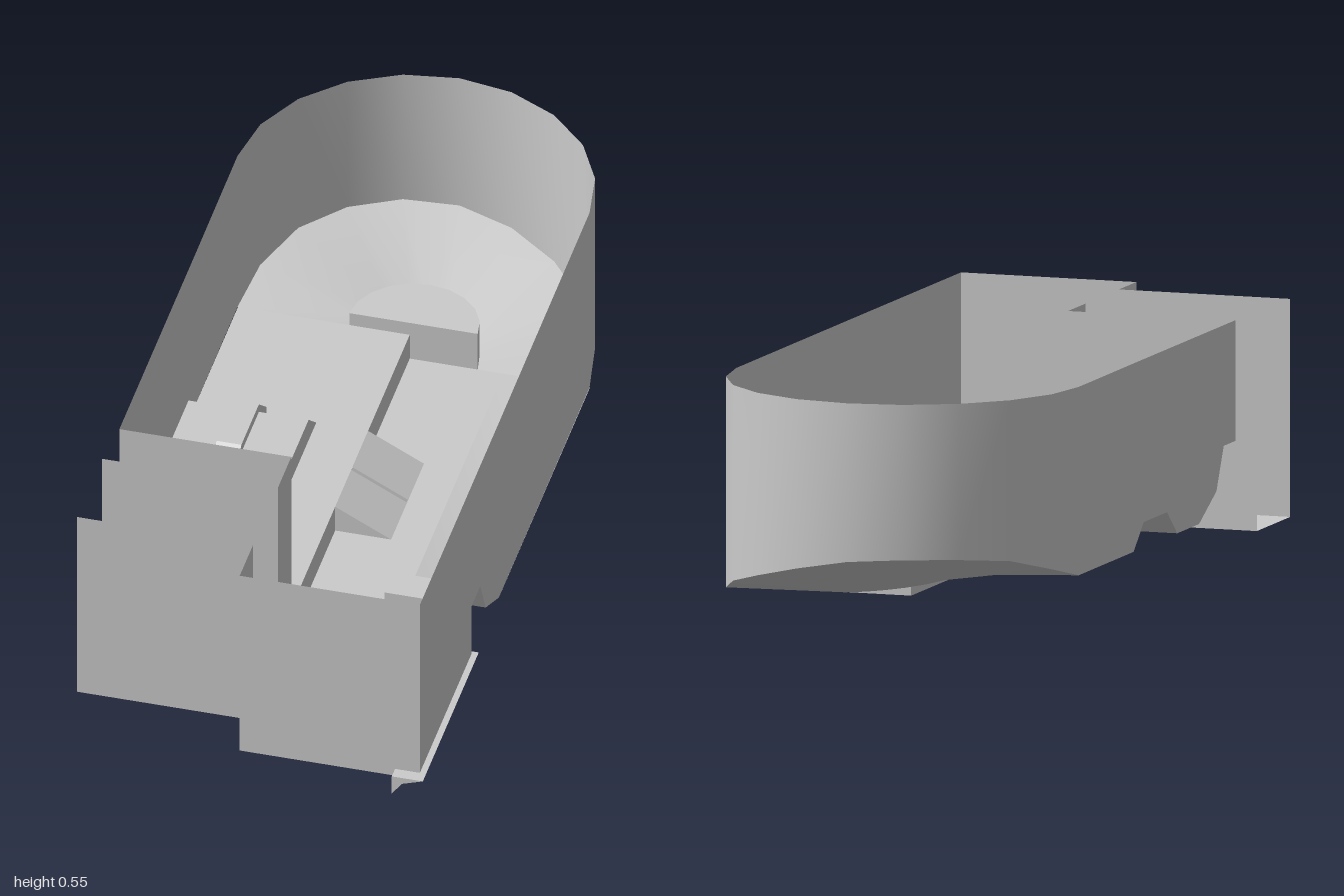
import * as THREE from 'three';
import { toCreasedNormals } from 'three/addons/utils/BufferGeometryUtils.js';

const TOP = 0.545, LOW = 0.03, HIGH = 0.1;      // wall top, the two floor levels
const L = -0.43, R = 0.42, M = -0.015, BACK = -0.58;

const mat = new THREE.MeshStandardMaterial({ color: 0xcccccc, side: THREE.DoubleSide });

// Thin sheet spanning two polylines that have the same number of points
function ribbon(a, b) {
  const pos = [];
  const tri = (p, q, r) => {
    const [P, Q, S] = [p, q, r].map(v => new THREE.Vector3(...v));
    if (Q.clone().sub(P).cross(S.clone().sub(P)).length() > 1e-7) pos.push(...p, ...q, ...r);
  };
  for (let i = 0; i < a.length - 1; i++) {
    tri(a[i], a[i + 1], b[i + 1]);
    tri(a[i], b[i + 1], b[i]);
  }
  const g = new THREE.BufferGeometry();
  g.setAttribute('position', new THREE.Float32BufferAttribute(pos, 3));
  return toCreasedNormals(g, 0.5);
}

export function createModel() {
  const model = new THREE.Group();
  const add = (name, geo) => {
    const m = new THREE.Mesh(geo, mat);
    m.name = name;
    model.add(m);
    return m;
  };
  // Profiles are lists of [z, y]
  const along = (prof, x) => prof.map(([z, y]) => [x, y, z]);
  const strip = (name, prof, x0, x1) => add(name, ribbon(along(prof, x0), along(prof, x1)));
  const side = (name, x, prof, other) => add(name, ribbon(along(prof, x), along(other, x)));
  const flatten = (prof, y) => prof.map(([z]) => [z, y]);
  const wall = (name, path) => add(name, ribbon(path, path.map(([x, , z]) => [x, TOP, z])));

  // Side profiles: stepped wheel-arch ramp and the low hump on the left
  const arch = y => [[0.25, y], [0.37, y + 0.06], [0.42, y + 0.16], [0.5, y + 0.16]];
  const hump = h => [[-0.2, HIGH + h], [-0.13, HIGH + 0.06 + h], [0.03, HIGH + 0.06 + h], [0.1, HIGH + h]];

  // Rounded back: floor ring and rim rise towards the middle
  const rimY = [0.03, 0.047, 0.083, 0.114, 0.145, 0.17, 0.178, 0.176, 0.165, 0.132, 0.1];
  const arc = (r, yAt) => rimY.map((_, i) => {
    const t = i / 10 * Math.PI;
    return [-0.006 + r * Math.cos(t), yAt(i), BACK - r * 0.988 * Math.sin(t)];
  });
  const rim = arc(0.425, i => rimY[i]);
  const inner = arc(0.155, i => LOW + (HIGH - LOW) * i / 10);
  add('backFloor', ribbon(inner, rim));

  // Half-round platform
  const DISC = 0.135;
  const discEdge = arc(0.155, () => DISC);
  add('platformTop', ribbon(discEdge, discEdge.map(() => [-0.006, DISC, BACK])));
  add('platformCurvedSide', ribbon(inner, discEdge));
  add('platformFront', ribbon(
    [[-0.161, HIGH, BACK], [M, HIGH, BACK], [M, LOW, BACK], [0.149, LOW, BACK]],
    [[-0.161, DISC, BACK], [M, DISC, BACK], [M, DISC, BACK], [0.149, DISC, BACK]]));

  // Outer walls
  wall('mainWall', [
    [R, LOW, 0.97], [R, LOW, 0.5],
    ...along(arch(LOW).reverse(), R),
    ...rim,
    ...along(hump(0), L),
    ...along(arch(HIGH), L),
  ]);
  wall('leftFrontWall', [
    [L, HIGH + 0.16, 0.5], [-0.23, HIGH + 0.16, 0.5], [-0.23, HIGH, 0.5], [M, HIGH, 0.5],
    [M, LOW, 0.5], [M, LOW, 0.62], [-0.44, LOW, 0.62],
  ]);
  wall('frontWall', [[-0.44, LOW, 0.85], [M, LOW, 0.85], [M, LOW, 0.97], [R, LOW, 0.97]]);

  // Lower floor on the right, with its wheel arch
  strip('rightFloor', [[BACK, LOW], [-0.2, LOW]], M, 0.12);
  strip('rightFloor', [[0.1, LOW], [0.97, LOW]], M, 0.12);
  strip('rightFloor', [[BACK, LOW], [0.97, LOW]], 0.12, 0.21);
  strip('rightArchFloor', [[BACK, LOW], ...arch(LOW), [0.5, LOW], [0.97, LOW]], 0.21, R);
  side('rightArchSide', 0.21, arch(LOW), flatten(arch(LOW), LOW));
  strip('armFloor', [[0.62, LOW], [0.85, LOW]], -0.44, M);

  // Raised floor on the left, with hump, band and wheel arch
  strip('leftFloor', [[BACK, HIGH], [0.5, HIGH]], -0.14, M);
  strip('leftFloor', [[BACK, HIGH], ...hump(0), [0.5, HIGH]], -0.23, -0.14);
  const outer = [[BACK, HIGH], ...hump(0), ...arch(HIGH)];
  strip('leftArchFloor', outer, L, -0.32);
  strip('leftArchFloor', outer, -0.26, -0.23);
  strip('leftArchFloor', [[BACK, HIGH], [-0.2, HIGH]], -0.32, -0.26);
  strip('leftArchFloor', [[0.1, HIGH], ...arch(HIGH)], -0.32, -0.26);
  side('leftArchSide', -0.23, arch(HIGH), flatten(arch(HIGH), HIGH));
  side('humpSide', -0.14, hump(0), flatten(hump(0), HIGH));
  strip('humpBand', [[-0.2, HIGH], ...hump(0.022), [0.1, HIGH]], -0.32, -0.26);
  for (const x of [-0.32, -0.26]) side('humpBandSide', x, hump(0), hump(0.022));

  // Step between the floors and the ramp that joins them
  for (const [z0, z1] of [[BACK, -0.2], [0.1, 0.5]])
    side('floorStep', M, [[z0, LOW], [z1, LOW]], [[z0, HIGH], [z1, HIGH]]);
  add('ramp', ribbon([[M, HIGH, -0.2], [M, HIGH, 0.1]], [[0.12, LOW, -0.2], [0.12, LOW, 0.1]]));
  for (const z of [-0.2, 0.1])
    add('rampSide', ribbon([[M, LOW, z], [0.12, LOW, z]], [[M, HIGH, z], [0.12, LOW, z]]));
  const rib = add('rampRib', new THREE.BoxGeometry(0.15, 0.01, 0.008));
  rib.position.set(0.053, 0.069, -0.05);
  rib.rotation.z = -Math.atan2(HIGH - LOW, 0.12 - M);

  // Side rail under the right wall
  const railShape = new THREE.Shape([[0.36, 0], [0.385, 0.033], [0.435, 0.05], [0.36, 0.05]]
    .map(p => new THREE.Vector2(...p)));
  const rail = add('sideRail', new THREE.ExtrudeGeometry(railShape, { depth: 0.51, bevelEnabled: false }));
  rail.position.z = 0.49;

  // Post and small blocks on the floor
  add('post', new THREE.CylinderGeometry(0.027, 0.027, 0.095, 16)).position.set(0.348, LOW + 0.0475, 0.865);
  const blocks = [[0.238, 0.515], [0.273, 0.515]];
  for (let i = 0; i < 6; i++) blocks.push([0.018 + i * 0.0375, 0.92]);
  for (const [x, z] of blocks)
    add('block', new THREE.BoxGeometry(0.03, 0.03, 0.03)).position.set(x, LOW + 0.015, z);

  return model;
}
